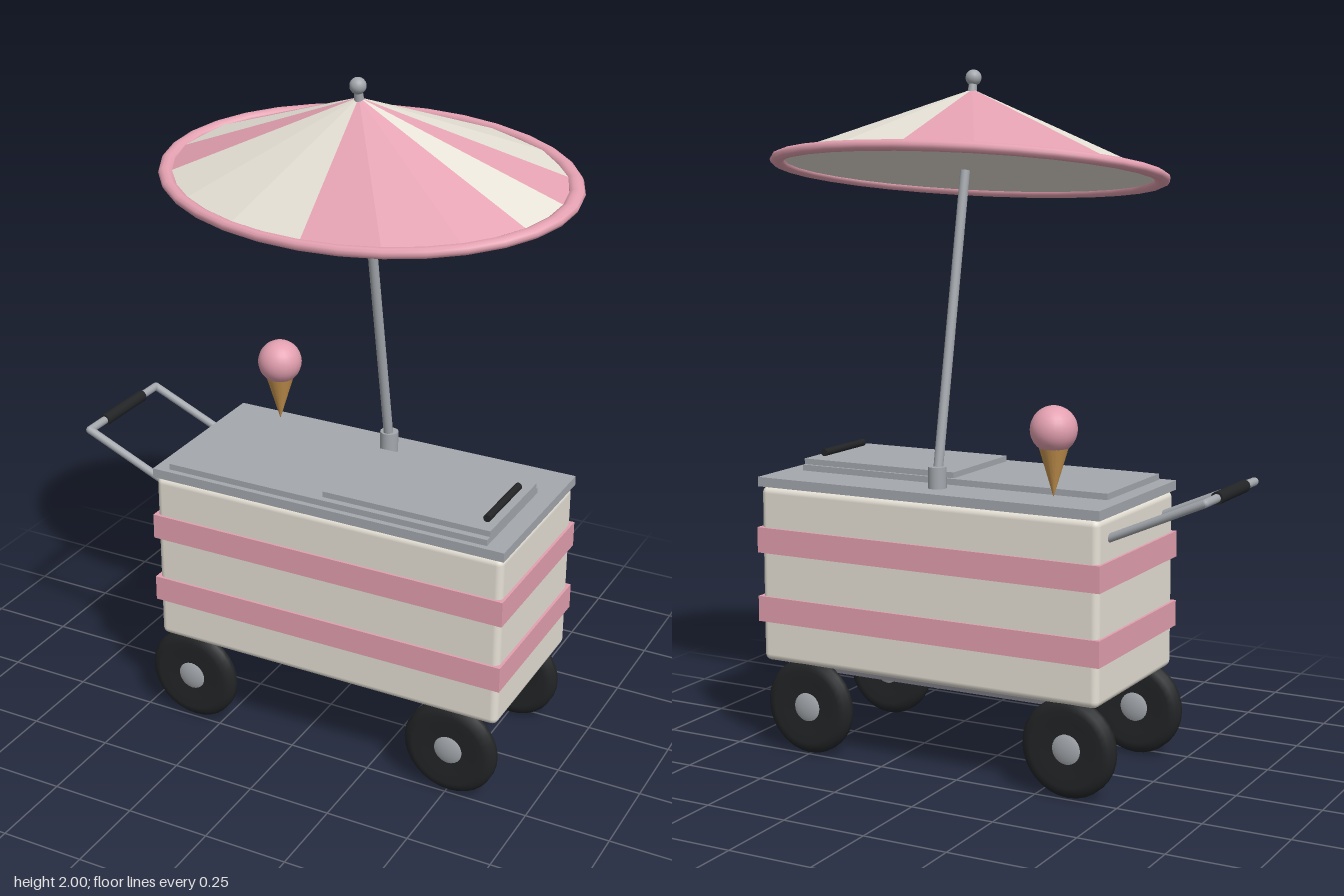
import * as THREE from 'three';
import { RoundedBoxGeometry } from 'three/addons/geometries/RoundedBoxGeometry.js';

const mat = (color, extra = {}) => new THREE.MeshStandardMaterial({ color, ...extra });
const CX = 0.105; // middle of the cart body

export function createModel() {
  const root = new THREE.Group();
  const cream = mat(0xe6e1d6), pink = mat(0xe3a0b0), metal = mat(0xa4a8ad);
  const black = mat(0x222426), waffle = mat(0xc8954f), chassisGrey = mat(0x77777f);

  const add = (name, geo, material, x = 0, y = 0, z = 0, parent = root) => {
    const mesh = new THREE.Mesh(geo, material);
    mesh.name = name;
    mesh.position.set(x, y, z);
    parent.add(mesh);
    return mesh;
  };
  const box = (name, material, x0, x1, y0, y1, z0, z1, r = 0) => {
    const s = [x1 - x0, y1 - y0, z1 - z0];
    const geo = r ? new RoundedBoxGeometry(...s, 3, r) : new THREE.BoxGeometry(...s);
    return add(name, geo, material, (x0 + x1) / 2, (y0 + y1) / 2, (z0 + z1) / 2);
  };
  // Round bar between two points
  const bar = (name, material, a, b, r) => {
    const p = new THREE.Vector3(...a), q = new THREE.Vector3(...b);
    const d = q.clone().sub(p);
    const mesh = add(name, new THREE.CylinderGeometry(r, r, d.length(), 16), material);
    mesh.position.copy(p).add(q).multiplyScalar(0.5);
    mesh.quaternion.setFromUnitVectors(new THREE.Vector3(0, 1, 0), d.normalize());
    return mesh;
  };

  // Body, stripes and chassis
  box('body', cream, -0.442, 0.652, 0.27, 0.795, -0.258, 0.258, 0.02);
  for (const y of [0.39, 0.597]) box('stripe', pink, -0.45, 0.66, y, y + 0.076, -0.265, 0.265);
  box('chassis', chassisGrey, -0.39, 0.6, 0.245, 0.275, -0.2, 0.2);

  // Counter top and sliding lids
  box('counterTop', metal, -0.447, 0.657, 0.795, 0.823, -0.262, 0.262);
  box('lowerLid', metal, -0.4, 0.6, 0.82, 0.841, -0.11, 0.245);
  box('upperLid', metal, 0.09, 0.6, 0.841, 0.858, -0.1, 0.225);
  bar('lidHandle', black, [0.57, 0.869, -0.04], [0.57, 0.869, 0.18], 0.011);

  // Wheels: rounded tyre with a domed hub
  const tyreProfile = [[0, -0.02], [0.08, -0.022], [0.11, -0.027], [0.13, -0.021], [0.142, -0.008],
    [0.142, 0.008], [0.13, 0.021], [0.11, 0.027], [0.08, 0.022], [0, 0.02]]
    .map(p => new THREE.Vector2(...p));
  for (const x of [-0.345, 0.505]) for (const side of [1, -1]) {
    const wheel = new THREE.Group();
    wheel.name = 'wheel';
    wheel.position.set(x, 0.143, side * 0.228);
    wheel.rotation.x = side * Math.PI / 2;
    add('tyre', new THREE.LatheGeometry(tyreProfile, 32), black, 0, 0, 0, wheel);
    const hub = add('hub', new THREE.SphereGeometry(0.063, 24, 12), metal, 0, 0, 0, wheel);
    hub.scale.y = 0.46;
    root.add(wheel);
  }

  // Push handle
  for (const z of [-0.183, 0.183]) {
    bar('handleArm', metal, [-0.43, 0.73, z], [-0.717, 0.855, z], 0.012);
    add('handleCorner', new THREE.SphereGeometry(0.012, 12, 8), metal, -0.717, 0.855, z);
  }
  bar('handleBar', metal, [-0.717, 0.855, -0.183], [-0.717, 0.855, 0.183], 0.012);
  bar('handleGrip', black, [-0.717, 0.855, -0.1], [-0.717, 0.855, 0.105], 0.018);

  // Ice cream cone
  const cone = add('waffleCone', new THREE.ConeGeometry(0.045, 0.15, 20), waffle, -0.277, 0.91, -0.195);
  cone.rotation.x = Math.PI;
  add('scoop', new THREE.SphereGeometry(0.066, 24, 16), pink, -0.277, 1.023, -0.195);

  // Parasol pole and socket
  add('poleSocket', new THREE.CylinderGeometry(0.027, 0.027, 0.062, 20), metal, CX, 0.854, -0.168);
  bar('pole', metal, [CX, 0.83, -0.172], [CX, 1.93, 0.042], 0.014);

  // Tilted oval canopy, built in flat sectors
  const canopy = new THREE.Group();
  canopy.name = 'canopy';
  canopy.position.set(CX, 1.715, 0);
  canopy.rotation.x = THREE.MathUtils.degToRad(11);
  root.add(canopy);
  const shade = new THREE.Group();
  shade.name = 'shade';
  shade.scale.x = 1.5;
  canopy.add(shade);
  const R = 0.393, H = 0.233, step = Math.PI / 8;
  const flat = { flatShading: true };
  const pinkCloth = mat(0xe3a0b0, flat), creamCloth = mat(0xe6e1d6, flat);
  const pattern = [1, 1, 1, 0, 1, 0, 0, 0]; // pink = 1, from the front towards +x, twice round
  for (let i = 0; i < 16; i++) {
    add('canopyPanel', new THREE.ConeGeometry(R, H, 1, 1, true, i * step, step),
      pattern[i % 8] ? pinkCloth : creamCloth, 0, H / 2, 0, shade);
  }
  const lining = add('canopyLining', new THREE.CircleGeometry(R, 16), creamCloth, 0, 0, 0, shade);
  lining.rotation.x = Math.PI / 2;
  const rim = add('canopyRim', new THREE.TorusGeometry(R, 0.0155, 10, 32), pink, 0, 0, 0, shade);
  rim.rotation.x = Math.PI / 2;
  add('finialNeck', new THREE.CylinderGeometry(0.011, 0.014, 0.04, 16), metal, 0, H + 0.005, 0, canopy);
  add('finial', new THREE.SphereGeometry(0.023, 20, 14), metal, 0, H + 0.033, 0, canopy);

  return root;
}
